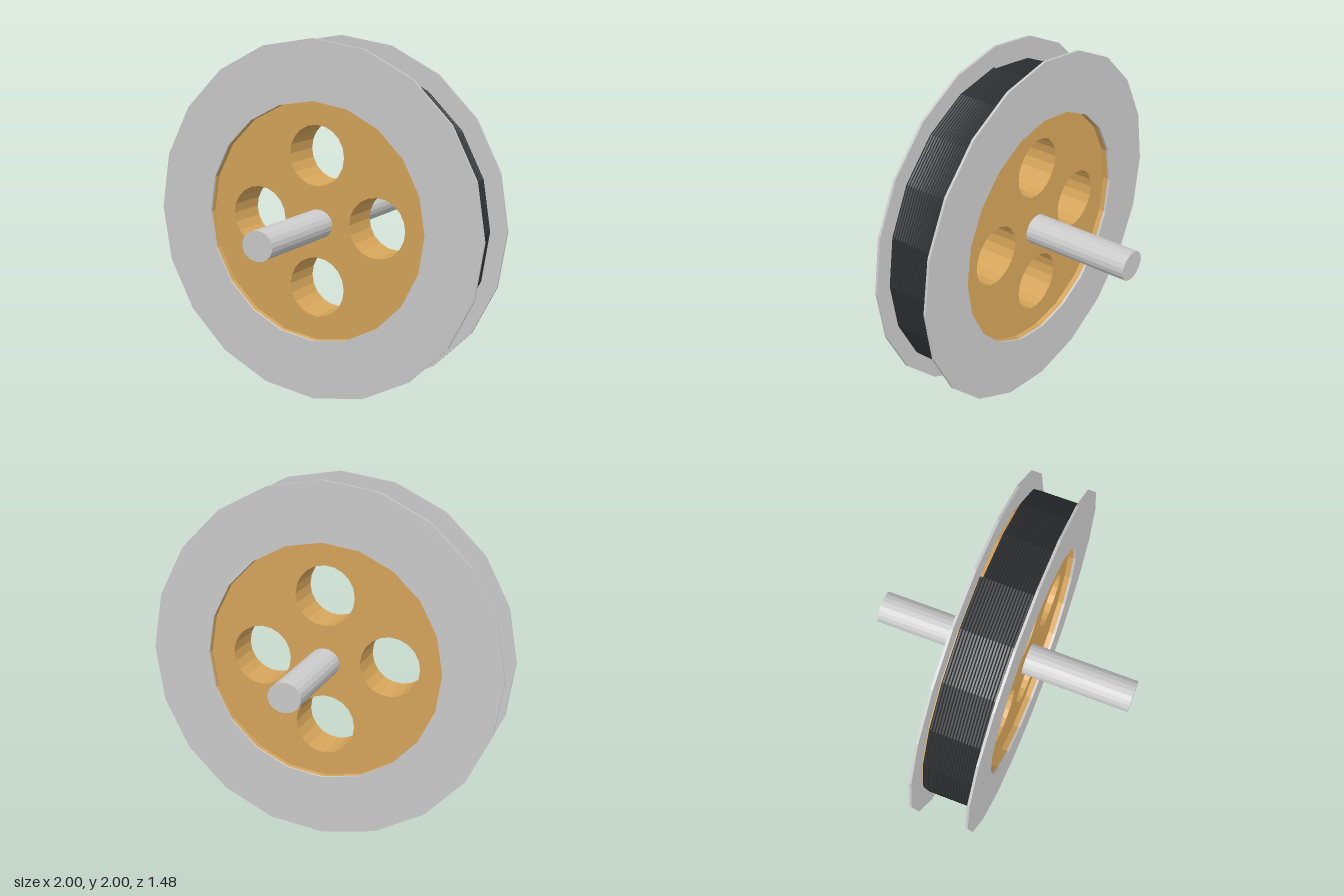
import * as THREE from 'three';

const SIDES = 20;
const CENTRE_Y = 1;

// Regular polygon with a corner at the top, as a closed outline
function ring(PathType, radius, x = 0, y = 0, sides = SIDES) {
  const points = [];
  for (let i = 0; i < sides; i++) {
    const a = Math.PI / 2 + (i / sides) * Math.PI * 2;
    points.push(new THREE.Vector2(x + radius * Math.cos(a), y + radius * Math.sin(a)));
  }
  return new PathType(points);
}

// Flat plate with holes, spanning zMin to zMax
function plate(radius, holes, zMin, zMax) {
  const shape = ring(THREE.Shape, radius);
  shape.holes.push(...holes);
  return new THREE.ExtrudeGeometry(shape, { depth: zMax - zMin, bevelEnabled: false }).translate(0, 0, zMin);
}

// Polygonal helix wound around z
class Coil extends THREE.Curve {
  constructor(radius, turns, zMin, zMax) {
    super();
    Object.assign(this, { radius, turns, zMin, zMax });
  }
  getPoint(t, target = new THREE.Vector3()) {
    const a = Math.PI / 2 + t * this.turns * Math.PI * 2;
    return target.set(
      this.radius * Math.cos(a),
      this.radius * Math.sin(a),
      THREE.MathUtils.lerp(this.zMin, this.zMax, t)
    );
  }
  // even parameter already means even length
  getPointAt(t, target) { return this.getPoint(t, target); }
  getTangentAt(t, target) { return this.getTangent(t, target); }
}

export function createModel() {
  const model = new THREE.Group();
  model.name = 'cableReel';

  const grey = new THREE.MeshStandardMaterial({ color: 0xcccccc, flatShading: true });
  const wood = new THREE.MeshStandardMaterial({ color: 0xd6a55a, flatShading: true });
  const black = new THREE.MeshStandardMaterial({ color: 0x2b2d2f, flatShading: true, side: THREE.DoubleSide });

  const add = (name, geometry, material, x = 0, y = CENTRE_Y, z = 0) => {
    const mesh = new THREE.Mesh(geometry, material);
    mesh.name = name;
    mesh.position.set(x, y, z);
    model.add(mesh);
    return mesh;
  };

  // Thin side flanges
  for (const [name, z] of [['frontFlange', 0.16], ['backFlange', -0.16]]) {
    add(name, plate(1, [ring(THREE.Path, 0.667)], -0.007, 0.007), grey, 0, CENTRE_Y, z);
  }

  // Drum rim, with a recessed web pierced by four round holes
  add('drumRim', plate(0.85, [ring(THREE.Path, 0.667)], -0.153, 0.153), wood);
  const holes = [];
  for (let i = 0; i < 4; i++) {
    const a = (i * Math.PI) / 2;
    holes.push(ring(THREE.Path, 0.168, 0.367 * Math.cos(a), 0.367 * Math.sin(a)));
  }
  add('drumWeb', plate(0.668, holes, -0.122, 0.122), wood);

  // Cable wound side by side on the drum
  const turns = 18;
  const coil = new Coil(0.886, turns, -0.137, 0.146);
  add('cable', new THREE.TubeGeometry(coil, turns * SIDES, 0.009, 6, false), black, 0.018, 0.995);

  // Axle, slightly oval
  const axle = new THREE.CylinderGeometry(1, 1, 1.484, SIDES).rotateX(Math.PI / 2).scale(0.09, 0.081, 1);
  add('axle', axle, grey, 0.007, 0.99);

  return model;
}
